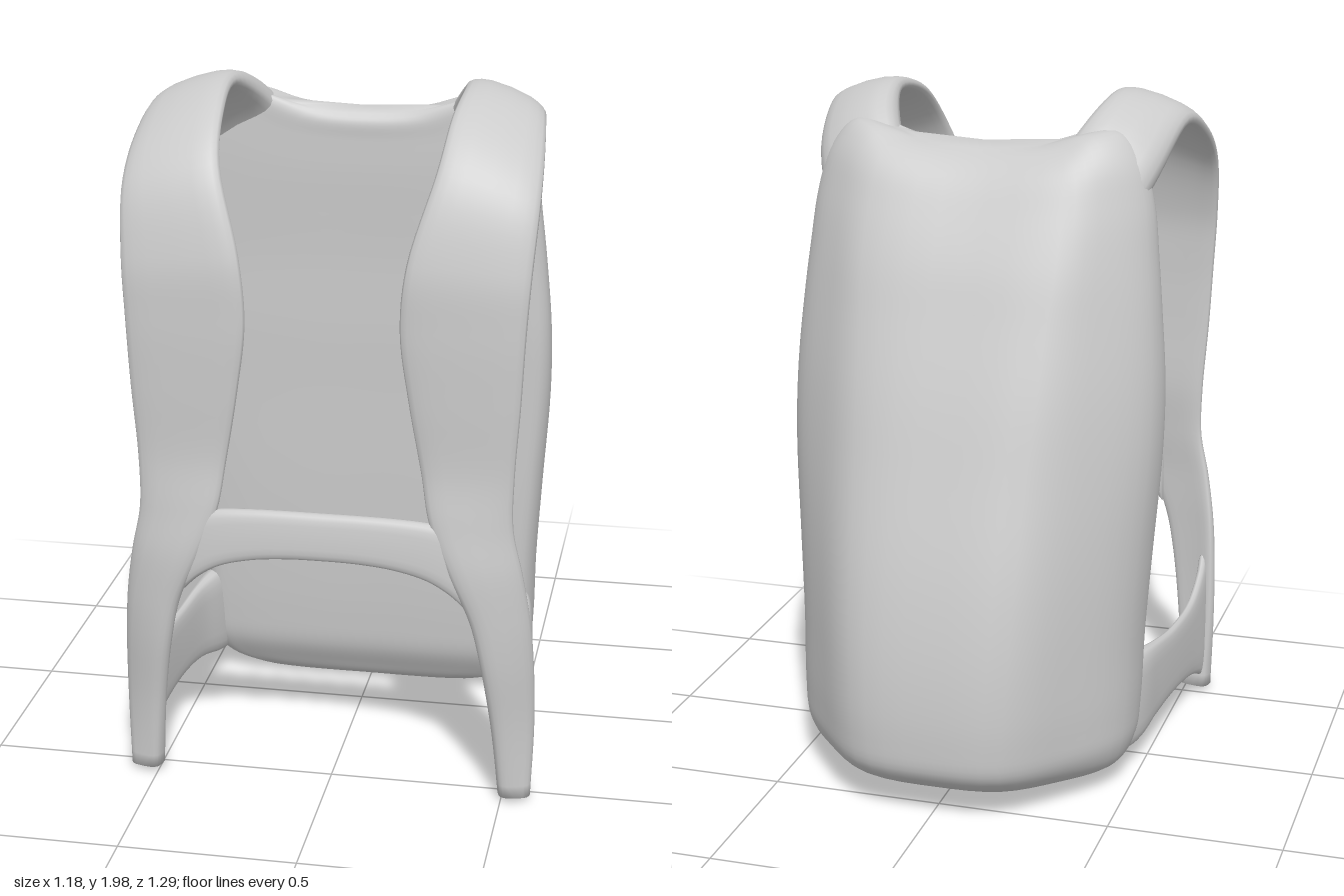
import * as THREE from 'three';

const V = (x, y, z) => new THREE.Vector3(x, y, z);

// Smooth closed skin through a row of rings, with fanned end caps
function loft(rings, steps) {
  const n = rings[0].length;
  const columns = rings[0].map((_, j) => new THREE.CatmullRomCurve3(rings.map(r => r[j])));
  const pts = [], index = [];
  for (let i = 0; i <= steps; i++) {
    for (const c of columns) pts.push(c.getPoint(i / steps));
  }
  for (let i = 0; i < steps; i++) {
    for (let j = 0; j < n; j++) {
      const a = i * n + j, b = i * n + (j + 1) % n;
      index.push(a, b, a + n, b, b + n, a + n);
    }
  }
  for (const [start, flip] of [[0, true], [steps * n, false]]) {
    const mid = V(0, 0, 0);
    for (let j = 0; j < n; j++) mid.addScaledVector(pts[start + j], 1 / n);
    const c = pts.push(mid) - 1;
    for (let j = 0; j < n; j++) {
      const a = start + j, b = start + (j + 1) % n;
      if (flip) index.push(c, b, a); else index.push(c, a, b);
    }
  }
  // turn the faces outwards if the enclosed volume is negative
  let volume = 0;
  for (let i = 0; i < index.length; i += 3) {
    const [a, b, c] = [pts[index[i]], pts[index[i + 1]], pts[index[i + 2]]];
    volume += a.dot(V(0, 0, 0).crossVectors(b, c));
  }
  if (volume < 0) index.reverse();
  const geo = new THREE.BufferGeometry().setFromPoints(pts);
  geo.setIndex(index);
  geo.computeVertexNormals();
  return geo;
}

// Flat padded band between two edge lines; station = [ax,ay,az, bx,by,bz, thickness, crown]
function band(stations, side, steps) {
  const A = stations.map(s => V(s[0] * side, s[1], s[2]));
  const B = stations.map(s => V(s[3] * side, s[4], s[5]));
  const mid = A.map((a, i) => a.clone().add(B[i]).multiplyScalar(0.5));
  const rings = stations.map((s, i) => {
    const half = B[i].clone().sub(A[i]).multiplyScalar(0.5);
    const along = mid[Math.min(i + 1, mid.length - 1)].clone().sub(mid[Math.max(i - 1, 0)]);
    const normal = along.cross(half).normalize().multiplyScalar(side);
    return Array.from({ length: 20 }, (_, k) => {
      const t = k / 20 * Math.PI * 2, c = Math.cos(t), d = Math.sin(t);
      const u = Math.sign(c) * Math.abs(c) ** 0.6;
      const v = Math.sign(d) * Math.abs(d) ** 0.7 * s[6] / 2 + (s[7] || 0) * (1 - u * u);
      return mid[i].clone().addScaledVector(half, u).addScaledVector(normal, v);
    });
  });
  return loft(rings, steps);
}

// Pack body: [y, front z, back z, half width, half width of the back]
const BODY = [
  [0.008, -0.19, -0.27, 0.12, 0.07],
  [0.03, -0.13, -0.40, 0.33, 0.14],
  [0.08, -0.095, -0.54, 0.46, 0.19],
  [0.15, -0.06, -0.63, 0.495, 0.21],
  [0.25, -0.045, -0.645, 0.505, 0.22],
  [0.45, -0.03, -0.635, 0.51, 0.23],
  [0.70, -0.02, -0.59, 0.525, 0.24],
  [1.00, -0.015, -0.505, 0.545, 0.25],
  [1.20, -0.01, -0.445, 0.545, 0.26],
  [1.40, -0.01, -0.375, 0.53, 0.27],
  [1.55, -0.005, -0.32, 0.515, 0.28],
  [1.68, 0, -0.255, 0.495, 0.28],
  [1.77, 0, -0.20, 0.455, 0.27],
  [1.82, 0, -0.15, 0.385, 0.25],
  [1.85, -0.02, -0.09, 0.22, 0.15],
];

function bodyRing([y, zf, zb, w, bw]) {
  const d = zf - zb;
  const half = [
    [w * 0.45, zf], [w * 0.8, zf - d * 0.015], [w * 0.95, zf - d * 0.045],
    [w, zf - d * 0.14], [w * 0.97, zf - d * 0.38],
    [w * 0.55 + bw * 0.45, zf - d * 0.68], [bw, zf - d * 0.95],
  ];
  // the top sags between the shoulders
  const ramp = THREE.MathUtils.clamp((y - 1.6) / 0.22, 0, 1);
  const at = (x, z) => V(x, y + 0.085 * ramp * Math.min(1, Math.abs(x) / 0.34) ** 3, z);
  const outline = [
    at(0, zf), ...half.map(([x, z]) => at(x, z)),
    at(0, zb), ...half.reverse().map(([x, z]) => at(-x, z)),
  ];
  return new THREE.CatmullRomCurve3(outline, true).getPoints(64).slice(0, 64);
}

// Shoulder strap, inner edge then outer edge, from inside the body over the top to the foot
const STRAP = [
  [0.17, 1.70, -0.12, 0.42, 1.55, -0.13, 0.06],
  [0.22, 1.81, -0.08, 0.455, 1.67, -0.09, 0.09, 0.01],
  [0.28, 1.915, 0.015, 0.50, 1.78, 0.00, 0.10, 0.02],
  [0.32, 1.972, 0.18, 0.54, 1.90, 0.19, 0.055, 0.012],
  [0.31, 1.93, 0.38, 0.56, 1.84, 0.38, 0.045, 0.01],
  [0.29, 1.81, 0.52, 0.565, 1.73, 0.51, 0.045, 0.008],
  [0.225, 1.58, 0.598, 0.555, 1.56, 0.575, 0.04, 0.005],
  [0.21, 1.40, 0.605, 0.545, 1.40, 0.59, 0.038, 0.005],
  [0.235, 1.20, 0.602, 0.535, 1.20, 0.59, 0.036, 0.005],
  [0.27, 1.00, 0.598, 0.522, 1.00, 0.585, 0.036, 0.005],
  [0.295, 0.86, 0.612, 0.522, 0.85, 0.585, 0.038, 0.01],
  [0.35, 0.72, 0.625, 0.548, 0.72, 0.575, 0.042, 0.014],
  [0.41, 0.58, 0.62, 0.57, 0.58, 0.555, 0.045, 0.014],
  [0.44, 0.45, 0.61, 0.58, 0.45, 0.54, 0.048, 0.012],
  [0.47, 0.25, 0.58, 0.585, 0.25, 0.525, 0.05, 0.008],
  [0.49, 0.025, 0.55, 0.58, 0.025, 0.53, 0.07],
];

// Hip strap, lower edge then upper edge, from the body to the strap's foot
const HIP = [
  [0.44, 0.09, -0.20, 0.45, 0.36, -0.18, 0.06],
  [0.475, 0.09, -0.09, 0.48, 0.37, -0.07, 0.07],
  [0.505, 0.12, 0.04, 0.505, 0.36, 0.04, 0.045],
  [0.525, 0.13, 0.20, 0.525, 0.345, 0.20, 0.036],
  [0.54, 0.11, 0.38, 0.54, 0.36, 0.40, 0.036],
  [0.55, 0.075, 0.49, 0.545, 0.42, 0.51, 0.036],
  [0.55, 0.05, 0.53, 0.545, 0.47, 0.55, 0.036],
];

// Half of the chest yoke: [x, bottom, top, z]
const YOKE = [
  [0, 0.735, 0.87, 0.624], [0.1, 0.733, 0.87, 0.624], [0.2, 0.722, 0.868, 0.623],
  [0.29, 0.697, 0.862, 0.621], [0.35, 0.66, 0.85, 0.617], [0.4, 0.61, 0.83, 0.608],
];

export function createModel() {
  const group = new THREE.Group();
  const material = new THREE.MeshStandardMaterial({ color: 0xcccccc });
  const add = (name, geo) => {
    const mesh = new THREE.Mesh(geo, material);
    mesh.name = name;
    group.add(mesh);
  };

  add('packBody', loft(BODY.map(bodyRing), 70));

  for (const [side, label] of [[1, 'left'], [-1, 'right']]) {
    add(label + 'ShoulderStrap', band(STRAP, side, 90));
    add(label + 'HipStrap', band(HIP, side, 30));
  }

  // yoke joining the two shoulder straps
  const mirrored = YOKE.slice(1).reverse().map(([x, b, t, z]) => [-x, b, t, z]);
  const yoke = [...mirrored, ...YOKE].map(([x, b, t, z]) => [x, b, z, x, t, z - 0.012, 0.044]);
  add('chestYoke', band(yoke, 1, 50));

  return group;
}
